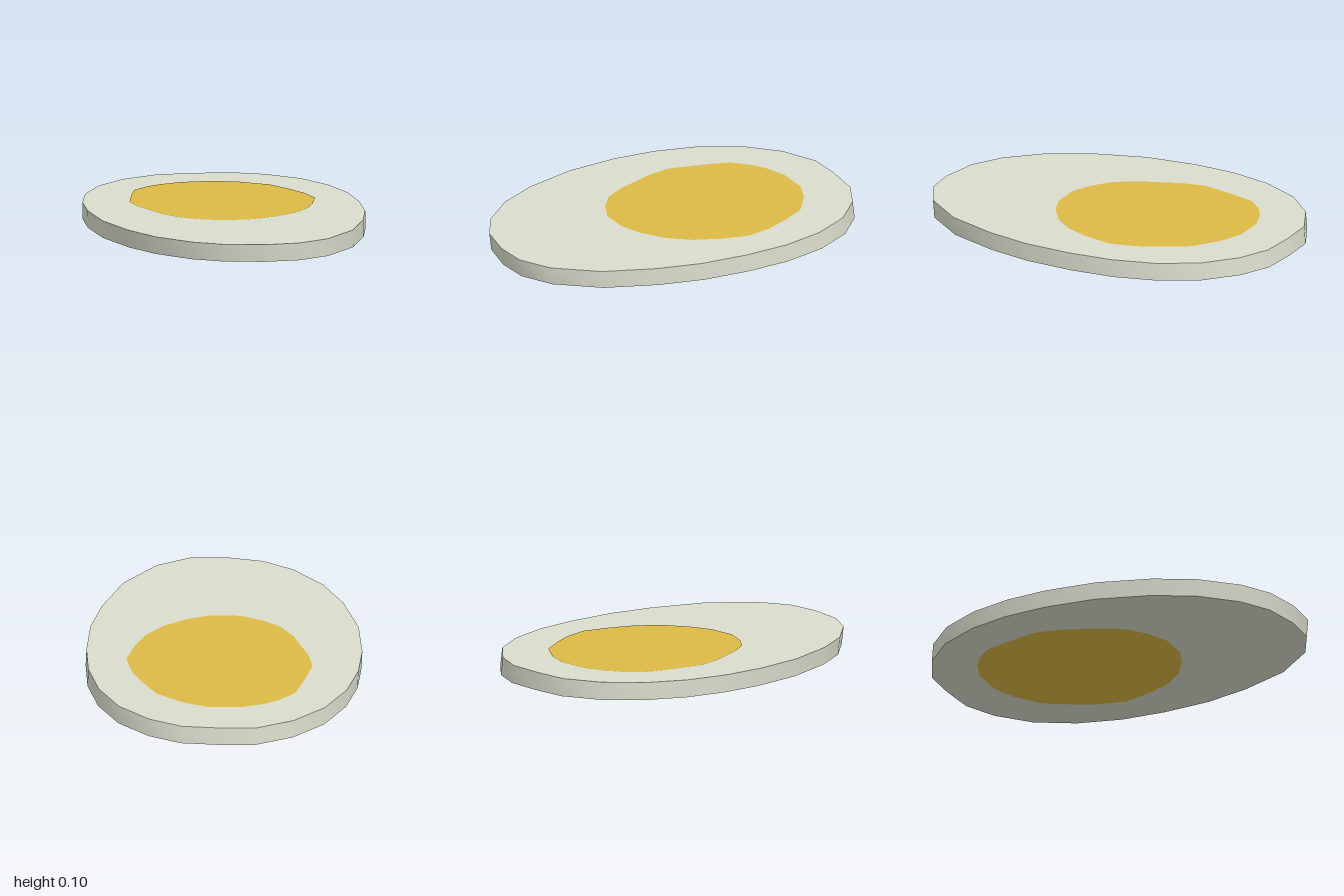
import * as THREE from 'three';

const HEIGHT = 0.093;
// Offset of the lower face, giving the wall a slight slant
const LEAN = [0.004, -0.01];

// Outlines as [x, z], starting at the back and running towards +x
const EGG = [
  [0, -0.99], [0.2, -0.975], [0.37, -0.895], [0.53, -0.75], [0.64, -0.55], [0.7, -0.32],
  [0.715, -0.08], [0.7, 0.18], [0.645, 0.42], [0.54, 0.69], [0.37, 0.9], [0.2, 0.99],
  [0.02, 1], [-0.18, 0.96], [-0.34, 0.865], [-0.5, 0.69], [-0.61, 0.48], [-0.695, 0.2],
  [-0.72, -0.08], [-0.705, -0.31], [-0.65, -0.53], [-0.54, -0.74], [-0.38, -0.895], [-0.19, -0.985],
];
const YOLK = [
  [0.07, -0.75], [0.2, -0.7], [0.34, -0.6], [0.42, -0.46], [0.475, -0.34], [0.505, -0.2],
  [0.465, -0.05], [0.41, 0.08], [0.32, 0.19], [0.2, 0.27], [0.08, 0.315], [-0.08, 0.315],
  [-0.2, 0.26], [-0.29, 0.19], [-0.36, 0.08], [-0.4, -0.03], [-0.44, -0.13], [-0.465, -0.26],
  [-0.42, -0.45], [-0.38, -0.58], [-0.3, -0.66], [-0.22, -0.71], [-0.1, -0.75],
];

// Flat horizontal face; up = 1 faces +y, up = -1 faces -y
function face(outline, y, up) {
  const shape = new THREE.Shape(outline.map(([x, z]) => new THREE.Vector2(x, -up * z)));
  return new THREE.ShapeGeometry(shape).rotateX(-up * Math.PI / 2).translate(0, y, 0);
}

// Smooth closed wall joining the lower outline to the upper one
function wall(lower, upper) {
  const n = upper.length;
  const positions = [];
  const index = [];
  for (let i = 0; i < n; i++) {
    positions.push(lower[i][0], 0, lower[i][1], upper[i][0], HEIGHT, upper[i][1]);
    const b = 2 * i, t = b + 1, b2 = 2 * ((i + 1) % n), t2 = b2 + 1;
    index.push(b, t, t2, b, t2, b2);
  }
  const g = new THREE.BufferGeometry();
  g.setAttribute('position', new THREE.Float32BufferAttribute(positions, 3));
  g.setIndex(index);
  g.computeVertexNormals();
  return g;
}

export function createModel() {
  const group = new THREE.Group();
  group.name = 'eggSlice';

  const white = new THREE.MeshStandardMaterial({ color: 0xdadccc });
  white.name = 'eggWhite';
  const yellow = new THREE.MeshStandardMaterial({ color: 0xdcba46 });
  yellow.name = 'yolkYellow';

  const add = (name, geometry, material) => {
    const mesh = new THREE.Mesh(geometry, material);
    mesh.name = name;
    group.add(mesh);
  };
  const lean = (outline) => outline.map(([x, z]) => [x + LEAN[0], z + LEAN[1]]);

  // Egg white body
  const lowerEgg = lean(EGG);
  add('whiteSide', wall(lowerEgg, EGG), white);
  add('whiteTop', face(EGG, HEIGHT, 1), white);
  add('whiteBottom', face(lowerEgg, 0, -1), white);

  // Yolk discs on both cut faces
  add('yolkTop', face(YOLK, HEIGHT + 0.002, 1), yellow);
  add('yolkBottom', face(lean(YOLK), -0.002, -1), yellow);

  return group;
}
